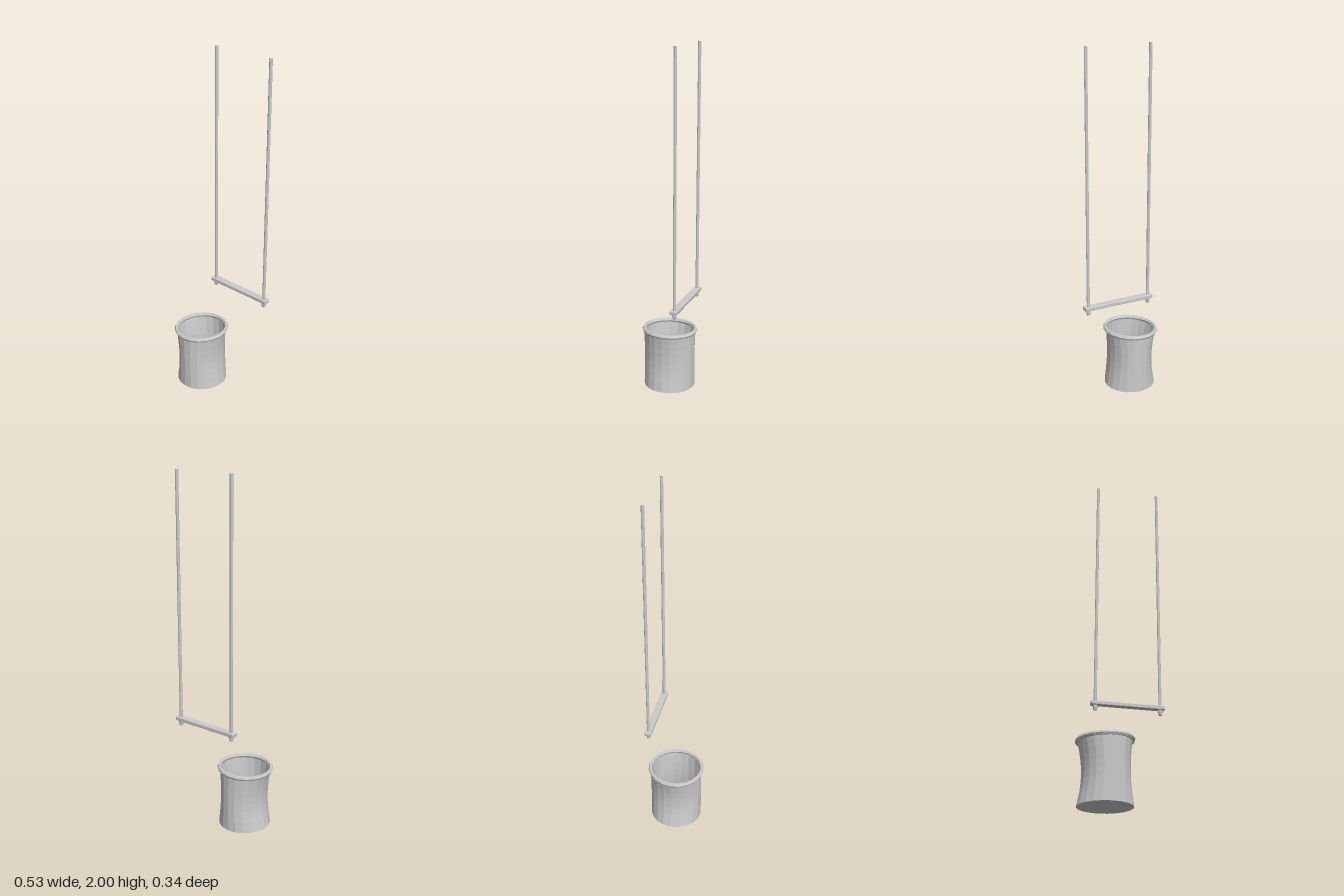
import * as THREE from 'three';
import { RoundedBoxGeometry } from 'three/addons/geometries/RoundedBoxGeometry.js';

const material = new THREE.MeshStandardMaterial({ color: 0xcccccc, flatShading: true });
const openMaterial = new THREE.MeshStandardMaterial({ color: 0xcccccc, flatShading: true, side: THREE.DoubleSide });

function addMesh(parent, name, geometry, x = 0, y = 0, z = 0, mat = material) {
  const mesh = new THREE.Mesh(geometry, mat);
  mesh.name = name;
  mesh.position.set(x, y, z);
  parent.add(mesh);
  return mesh;
}

// Open tub with closed floor, pinched at mid height along x and with a slanted top
function tubGeometry(radius, height, sides, rows) {
  const profile = [new THREE.Vector2(0, 0)];
  for (let i = 0; i <= rows; i++) profile.push(new THREE.Vector2(radius, (height * i) / rows));
  const geometry = new THREE.LatheGeometry(profile, sides);
  const p = geometry.attributes.position;
  for (let i = 0; i < p.count; i++) {
    const t = p.getY(i) / height;
    const pinch = Math.sin(Math.PI * t);
    const x = p.getX(i) * (0.98 - 0.03 * t - 0.13 * pinch) + 0.004 * pinch - 0.003 * t;
    p.setXYZ(i, x, t * (height + 0.045 * x), p.getZ(i));
  }
  geometry.computeVertexNormals();
  return geometry;
}

export function createModel() {
  const model = new THREE.Group();
  model.name = 'swingAndTub';

  // Tub and its rolled rim
  const tub = new THREE.Group();
  tub.name = 'tub';
  tub.position.set(-0.104, 0, 0.006);
  model.add(tub);
  addMesh(tub, 'tubBody', tubGeometry(0.15, 0.342, 20, 8), 0, 0, 0, openMaterial);
  const rim = new THREE.TorusGeometry(0.151, 0.011, 6, 20);
  rim.rotateX(Math.PI / 2).scale(0.97, 1.2, 1).rotateZ(0.045);
  addMesh(tub, 'tubRim', rim, -0.003, 0.344, 0);

  // Hanging bar with two ropes, each knotted below it
  const swing = new THREE.Group();
  swing.name = 'swing';
  swing.position.set(0.053, 0, -0.15);
  model.add(swing);
  addMesh(swing, 'bar', new RoundedBoxGeometry(0.417, 0.022, 0.04, 1, 0.004), 0, 0.602, 0);
  const knot = [[0, 0.562], [0.009, 0.562], [0.013, 0.58], [0.013, 0.594]].map(([r, y]) => new THREE.Vector2(r, y));
  for (const [side, x] of [['right', -0.184], ['left', 0.184]]) {
    addMesh(swing, side + 'Rope', new THREE.CylinderGeometry(0.009, 0.009, 1.4, 8, 1, true), x, 1.3, 0);
    addMesh(swing, side + 'Knot', new THREE.LatheGeometry(knot, 8), x, 0, 0);
  }
  return model;
}
